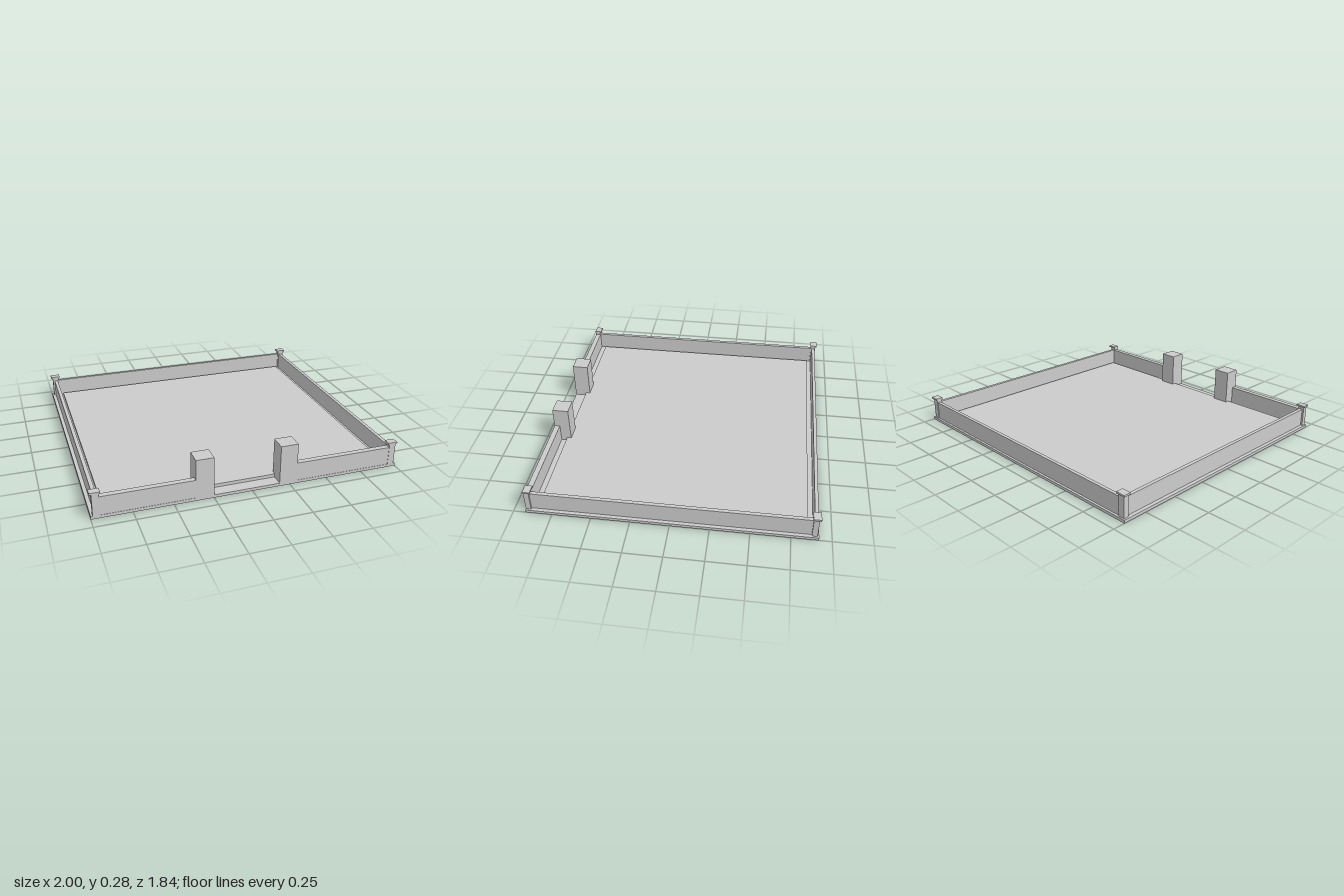
import * as THREE from 'three';

const material = new THREE.MeshStandardMaterial({ color: 0xcccccc, flatShading: true });

// Box given by its minimum and maximum on each axis
function block(name, [x0, x1], [y0, y1], [z0, z1]) {
  const mesh = new THREE.Mesh(new THREE.BoxGeometry(x1 - x0, y1 - y0, z1 - z0), material);
  mesh.name = name;
  mesh.position.set((x0 + x1) / 2, (y0 + y1) / 2, (z0 + z1) / 2);
  return mesh;
}

export function createModel() {
  const model = new THREE.Group();
  model.name = 'walledCourtyard';
  const baseTop = 0.02, wallTop = 0.142;
  const wallY = [baseTop, wallTop];
  const gate = [-0.25, 0.18];

  // Base slab and slightly raised floor
  model.add(block('base', [-1, 1], [0, baseTop], [-0.92, 0.92]));
  model.add(block('floor', [-0.92, 0.917], [baseTop, 0.042], [-0.85, 0.84]));

  // Back wall, and front wall split by the gateway
  model.add(block('backWall', [-0.95, 0.95], wallY, [-0.905, -0.883]));
  model.add(block('frontWallRight', [-0.95, -0.365], wallY, [0.882, 0.918]));
  model.add(block('frontWallLeft', [0.295, 0.95], wallY, [0.882, 0.918]));

  // Gate pillars
  const pillarWidth = 0.115;
  model.add(block('gatePillarRight', [gate[0] - pillarWidth, gate[0]], [baseTop, 0.277], [0.81, 0.92]));
  model.add(block('gatePillarLeft', [gate[1], gate[1] + pillarWidth], [baseTop, 0.277], [0.81, 0.92]));

  for (const [s, side] of [[-1, 'Right'], [1, 'Left']]) {
    const span = (a, b) => (s < 0 ? [-b, -a] : [a, b]);
    // Side walls, set back from the base edge
    model.add(block('sideWall' + side, span(0.952, 0.976), wallY, [-0.9, 0.9]));

    // Corner posts with flat caps
    for (const [end, postZ, capZ] of [
      ['front', [0.886, 0.92], [0.873, 0.92]],
      ['back', [-0.91, -0.875], [-0.92, -0.87]],
    ]) {
      const post = new THREE.Group();
      post.name = end + 'CornerPost' + side;
      post.add(block('postShaft', span(0.945, 0.988), [baseTop, 0.163], postZ));
      post.add(block('postCap', span(0.936, 1), [0.163, 0.175], capZ));
      model.add(post);
    }
  }
  return model;
}
